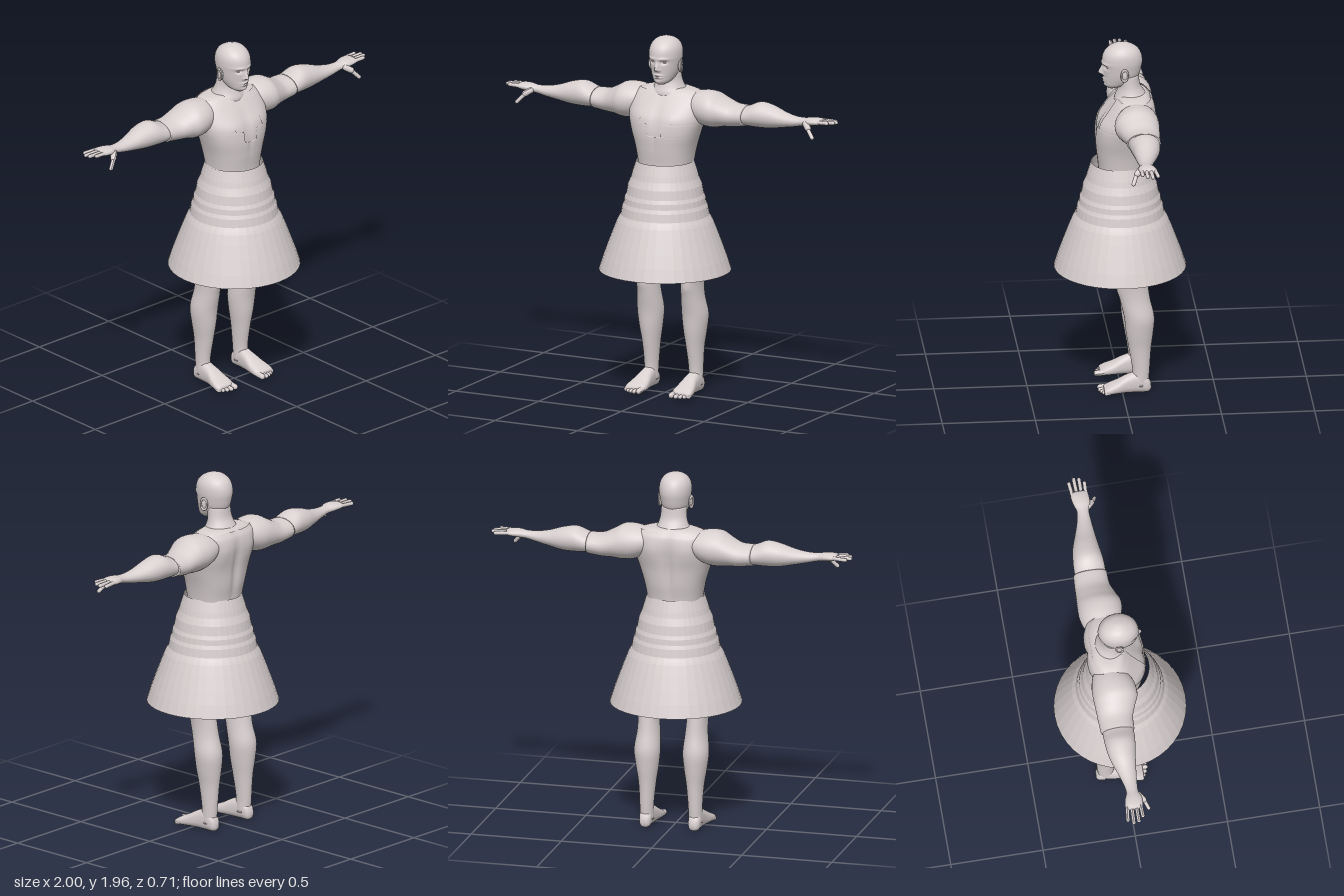
import * as THREE from 'three';

const skin = new THREE.MeshStandardMaterial({ color: 0xd8cfcf, side: THREE.DoubleSide });
skin.name = 'pale stone';

const bump = (d, w) => Math.exp(-(d * d) / (w * w));

// Smooth value of a section row [t, aMin, aMax, bMin, bMax] at t
function sample(rows, t) {
  let i = 0;
  while (i < rows.length - 2 && t > rows[i + 1][0]) i++;
  const p = rows[i], q = rows[i + 1], o = rows[i - 1] || p, r = rows[i + 2] || q;
  const h = q[0] - p[0], u = (t - p[0]) / h, v = 1 - u;
  return [1, 2, 3, 4].map((k) => {
    const m0 = ((q[k] - o[k]) / (q[0] - o[0])) * h, m1 = ((r[k] - p[k]) / (r[0] - p[0])) * h;
    return p[k] * (1 + 2 * u) * v * v + m0 * u * v * v + q[k] * u * u * (3 - 2 * u) - m1 * u * u * v;
  });
}

// Loft of rounded sections along an axis; (a, b, t) runs cyclically, e.g. (z, x, y) for axis y
function loft(axis, rows, { n = 32, m = 40, power = 1, grow = 0, sculpt, range } = {}) {
  const pos = [], idx = [], cols = range ? n + 1 : n;
  const t0 = rows[0][0], t1 = rows[rows.length - 1][0];
  const first = range ? 0 : -1, last = range ? m : m + 1;
  for (let i = first; i <= last; i++) {
    const t = t0 + ((t1 - t0) * Math.min(Math.max(i, 0), m)) / m;
    const [a0, a1, b0, b1] = sample(rows, t);
    const size = i < 0 || i > m ? 0 : 1;
    const [s, e] = range ? range(t) : [0, Math.PI * 2];
    for (let j = 0; j < cols; j++) {
      const th = s + ((e - s) * j) / n, c = Math.cos(th), d = Math.sin(th);
      let a = (a0 + a1) / 2 + size * ((a1 - a0) / 2 + grow) * Math.sign(c) * Math.abs(c) ** power;
      const b = (b0 + b1) / 2 + size * ((b1 - b0) / 2 + grow) * Math.sign(d) * Math.abs(d) ** power;
      if (sculpt && size) a += sculpt(a, b, t);
      pos.push(...(axis === 'y' ? [b, t, a] : axis === 'x' ? [t, a, b] : [a, b, t]));
    }
  }
  for (let i = 0; i < last - first; i++) for (let j = 0; j < n; j++) {
    const k = (j + 1) % cols, p = i * cols, q = p + cols;
    idx.push(p + j, p + k, q + k, p + j, q + k, q + j);
  }
  const g = new THREE.BufferGeometry();
  g.setAttribute('position', new THREE.Float32BufferAttribute(pos, 3));
  g.setIndex(idx);
  g.computeVertexNormals();
  return g;
}

// Rounded rod between two points
function rod(from, to, r) {
  const a = new THREE.Vector3(...from), b = new THREE.Vector3(...to), d = b.clone().sub(a);
  const g = new THREE.CapsuleGeometry(r, Math.max(d.length() - 2 * r, 0.001), 5, 10);
  g.applyQuaternion(new THREE.Quaternion().setFromUnitVectors(new THREE.Vector3(0, 1, 0), d.normalize()));
  return g.translate(...a.add(b).multiplyScalar(0.5).toArray());
}

const ball = (x, y, z, rx, ry, rz) => new THREE.SphereGeometry(1, 20, 14).scale(rx, ry, rz).translate(x, y, z);

function mirrored(g) {
  const c = g.clone().scale(-1, 1, 1), ix = c.index.array;
  for (let i = 0; i < ix.length; i += 3) [ix[i], ix[i + 1]] = [ix[i + 1], ix[i]];
  c.computeVertexNormals();
  return c;
}

export function createModel() {
  const model = new THREE.Group();
  const add = (name, g) => {
    const mesh = new THREE.Mesh(g, skin);
    mesh.name = name;
    model.add(mesh);
  };
  const pair = (name, g) => {
    add(name + 'Left', g);
    add(name + 'Right', mirrored(g));
  };

  // Torso with pectoral, shoulder blade and spine relief
  const torso = [
    [1.22, -0.14, 0.115, -0.145, 0.145], [1.28, -0.145, 0.12, -0.15, 0.15], [1.36, -0.16, 0.13, -0.165, 0.165],
    [1.45, -0.17, 0.135, -0.192, 0.192], [1.52, -0.18, 0.118, -0.212, 0.212], [1.58, -0.185, 0.082, -0.218, 0.218],
    [1.63, -0.178, 0.045, -0.208, 0.208], [1.66, -0.16, 0.02, -0.175, 0.175], [1.675, -0.14, 0.005, -0.12, 0.12],
  ];
  const muscles = (z, x, y) => {
    const ax = Math.abs(x);
    if (z > 0) return 0.008 * bump(ax - 0.09, 0.06) * bump(y - 1.53, 0.05) - 0.007 * bump(x, 0.012) * bump(y - 1.5, 0.12);
    if (z > -0.06) return 0;
    return 0.016 * bump(x, 0.022) * bump(y - 1.45, 0.16) - 0.008 * bump(ax - 0.1, 0.05) * bump(y - 1.55, 0.07);
  };
  add('chest', loft('y', torso, { n: 72, m: 60, power: 0.85, grow: -0.007, sculpt: muscles }));

  // Shirt shell, open at the front of the neck with a small tab below
  const opening = (y) => (y > 1.5 ? 0.4 - (y - 1.5) * 1.2 : y > 1.435 ? 0.16 : 0);
  add('shirt', loft('y', torso.slice(0, -1), {
    n: 90, m: 110, power: 0.85, sculpt: muscles, range: (y) => [opening(y), Math.PI * 2 - opening(y)],
  }));

  // Neck
  add('neck', loft('y', [
    [1.6, -0.165, 0.03, -0.13, 0.13], [1.65, -0.15, 0.03, -0.105, 0.105], [1.68, -0.13, 0.018, -0.085, 0.085],
    [1.72, -0.108, 0.008, -0.073, 0.073], [1.78, -0.1, 0.02, -0.068, 0.068],
  ], { m: 24 }));

  // Head with sculpted face
  add('head', loft('y', [
    [1.705, 0.02, 0.065, -0.02, 0.02], [1.722, -0.03, 0.082, -0.045, 0.045], [1.75, -0.08, 0.088, -0.062, 0.062],
    [1.78, -0.102, 0.09, -0.073, 0.073], [1.82, -0.114, 0.094, -0.081, 0.081], [1.86, -0.12, 0.098, -0.086, 0.086],
    [1.9, -0.112, 0.09, -0.083, 0.083], [1.93, -0.092, 0.068, -0.068, 0.068], [1.95, -0.058, 0.035, -0.044, 0.044],
    [1.96, -0.025, 0.005, -0.012, 0.012],
  ], {
    n: 112, m: 100,
    sculpt: (z, x, y) => {
      if (z < 0.02) return 0;
      const ax = Math.abs(x), lips = bump(y - 1.76, 0.005) + bump(y - 1.747, 0.005);
      return 0.026 * bump(x, 0.012) * bump(y - 1.793, y < 1.793 ? 0.009 : 0.032)
        + 0.006 * bump(ax - 0.012, 0.008) * bump(y - 1.788, 0.009)
        + 0.006 * bump(ax - 0.035, 0.03) * bump(y - 1.85, 0.008)
        - 0.012 * bump(ax - 0.034, 0.016) * bump(y - 1.832, 0.011)
        + 0.007 * bump(x, 0.024) * lips + 0.005 * bump(x, 0.02) * bump(y - 1.722, 0.01);
    },
  }));
  pair('eye', ball(0.033, 1.831, 0.066, 0.013, 0.007, 0.012));
  pair('ear', ball(0.084, 1.8, -0.015, 0.01, 0.033, 0.019).rotateZ(0));
  pair('earRim', new THREE.TorusGeometry(0.019, 0.005, 8, 20).scale(1, 1.6, 1).rotateY(Math.PI / 2 + 0.3).translate(0.09, 1.802, -0.017));

  // Sleeved shoulder and upper arm
  pair('upperArm', loft('x', [
    [0.1, 1.56, 1.65, -0.15, -0.01], [0.15, 1.51, 1.662, -0.175, 0.02], [0.21, 1.482, 1.672, -0.188, 0.045],
    [0.27, 1.476, 1.668, -0.188, 0.05], [0.32, 1.484, 1.642, -0.185, 0.03], [0.38, 1.488, 1.615, -0.182, 0.008],
    [0.455, 1.498, 1.61, -0.178, 0.003],
  ], { m: 44 }));

  // Forearm
  pair('forearm', loft('x', [
    [0.42, 1.508, 1.6, -0.168, -0.008], [0.47, 1.503, 1.615, -0.17, -0.002], [0.53, 1.5, 1.638, -0.168, -0.005],
    [0.6, 1.503, 1.628, -0.158, -0.015], [0.68, 1.517, 1.602, -0.132, -0.025], [0.75, 1.53, 1.588, -0.11, -0.032],
    [0.81, 1.543, 1.587, -0.1, -0.035], [0.85, 1.548, 1.593, -0.113, -0.022], [0.89, 1.553, 1.593, -0.12, -0.022],
    [0.915, 1.56, 1.588, -0.116, -0.027],
  ], { m: 60 }));

  // Fingers and thumb
  [[-0.108, -0.118, 0.98], [-0.084, -0.088, 1.0], [-0.06, -0.06, 0.995], [-0.037, -0.034, 0.97]].forEach(([z0, z1, tip], i) =>
    pair('finger' + (i + 1), rod([0.89, 1.575, z0], [tip, 1.572 + i * 0.002, z1], 0.0105)));
  pair('thumbBase', rod([0.82, 1.568, -0.045], [0.868, 1.535, -0.005], 0.017));
  pair('thumb', rod([0.85, 1.548, -0.015], [0.9, 1.492, 0.012], 0.011));

  // Legs, continuing up beneath the skirt
  pair('leg', loft('y', [
    [0.04, -0.14, -0.05, 0.098, 0.172], [0.12, -0.146, -0.055, 0.097, 0.172], [0.25, -0.155, -0.035, 0.085, 0.18],
    [0.34, -0.166, -0.02, 0.072, 0.195], [0.43, -0.172, -0.01, 0.064, 0.205], [0.53, -0.15, 0.012, 0.072, 0.193],
    [0.6, -0.14, 0.024, 0.077, 0.192], [0.68, -0.132, 0.036, 0.073, 0.2], [0.82, -0.142, 0.05, 0.045, 0.205],
    [1.0, -0.15, 0.07, 0.005, 0.19], [1.2, -0.13, 0.09, -0.005, 0.14],
  ], {
    m: 64,
    sculpt: (z, x, y) => (z > -0.03 ? 0.008 * bump(x - 0.135, 0.03) * bump(y - 0.585, 0.03) : 0),
  }));

  // Feet and toes
  pair('foot', loft('z', [
    [-0.154, 0.118, 0.152, 0.015, 0.05], [-0.14, 0.105, 0.166, 0.002, 0.08], [-0.09, 0.1, 0.172, 0, 0.115],
    [-0.03, 0.093, 0.178, 0, 0.1], [0.03, 0.083, 0.193, 0, 0.068], [0.07, 0.081, 0.2, 0, 0.05],
    [0.1, 0.088, 0.195, 0.003, 0.033],
  ], { power: 0.8 }));
  [[0.097, 0.132, 0.016], [0.124, 0.13, 0.012], [0.147, 0.122, 0.011], [0.168, 0.112, 0.011], [0.187, 0.1, 0.011]].forEach(
    ([x, tip, r], i) => pair('toe' + (i + 1), rod([x, r + 0.007, 0.06], [x + 0.002, r, tip], r)));

  // Banded, faceted open skirt
  const profile = [
    [0.355, 0.68], [0.333, 0.75], [0.308, 0.82], [0.278, 0.9], [0.258, 0.95], [0.25, 0.965], [0.238, 0.985],
    [0.23, 1.03], [0.221, 1.05], [0.217, 1.08], [0.208, 1.1], [0.199, 1.15], [0.182, 1.19], [0.174, 1.22], [0.155, 1.28],
  ].map(([r, y]) => new THREE.Vector2(r, y));
  const skirt = new THREE.LatheGeometry(profile, 40).toNonIndexed();
  skirt.computeVertexNormals();
  add('skirt', skirt);

  return model;
}
